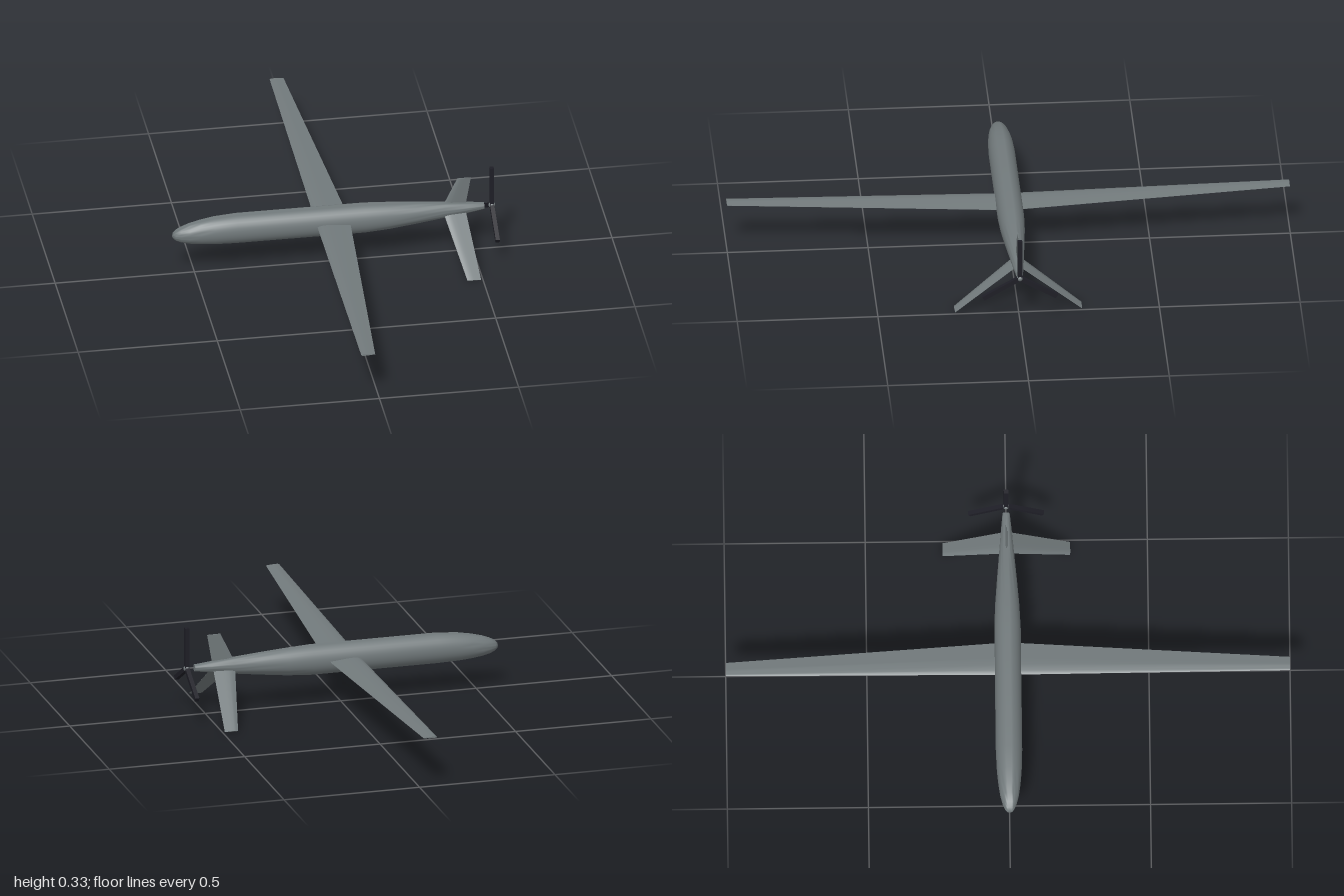
import * as THREE from 'three';
import { toCreasedNormals } from 'three/addons/utils/BufferGeometryUtils.js';

// Skin a list of equal-length rings (counter-clockwise about the travel direction), capping both ends.
function loft(rings, crease) {
  const n = rings[0].length, pos = [], idx = [];
  rings.forEach(r => r.forEach(p => pos.push(...p)));
  for (let i = 0; i < rings.length - 1; i++) {
    for (let j = 0; j < n; j++) {
      const a = i * n + j, b = i * n + (j + 1) % n;
      idx.push(a, b, a + n, b, b + n, a + n);
    }
  }
  const last = (rings.length - 1) * n;
  for (let j = 1; j < n - 1; j++) {
    idx.push(0, j + 1, j);
    idx.push(last, last + j, last + j + 1);
  }
  const g = new THREE.BufferGeometry();
  g.setAttribute('position', new THREE.Float32BufferAttribute(pos, 3));
  g.setIndex(idx);
  return toCreasedNormals(g, crease);
}

// Airfoil outline as [chord fraction, half-thickness fraction], from the trailing edge over the top.
const upper = [[1, 0.05], [0.75, 0.4], [0.5, 0.8], [0.3, 1], [0.12, 0.8], [0.03, 0.42], [0, 0]];
const airfoil = [...upper, ...upper.slice(0, -1).reverse().map(([c, t]) => [c, -t])];

export function createModel() {
  const group = new THREE.Group();
  const grey = new THREE.MeshStandardMaterial({ color: 0x727a7c });
  grey.name = 'airframe grey';
  const black = new THREE.MeshStandardMaterial({ color: 0x1e1e26 });
  black.name = 'propeller black';

  const add = (name, geometry, material, parent = group) => {
    const mesh = new THREE.Mesh(geometry, material);
    mesh.name = name;
    parent.add(mesh);
    return mesh;
  };

  // Fuselage stations: x, bottom y, top y, half width
  const stations = [
    [-0.58, 0.153, 0.157, 0.002], [-0.577, 0.145, 0.167, 0.01], [-0.568, 0.137, 0.176, 0.017],
    [-0.55, 0.129, 0.186, 0.025], [-0.52, 0.122, 0.197, 0.033], [-0.48, 0.117, 0.207, 0.039],
    [-0.43, 0.113, 0.216, 0.044], [-0.35, 0.111, 0.222, 0.047], [-0.1, 0.111, 0.222, 0.047],
    [0.11, 0.111, 0.222, 0.047], [0.2, 0.117, 0.217, 0.043], [0.3, 0.129, 0.21, 0.035],
    [0.4, 0.142, 0.202, 0.026], [0.48, 0.153, 0.194, 0.019], [0.54, 0.163, 0.188, 0.013],
  ];
  const sides = 32;
  add('fuselage', loft(stations.map(([x, lo, hi, w]) =>
    Array.from({ length: sides }, (_, j) => {
      const a = j / sides * Math.PI * 2;
      return [x, (lo + hi) / 2 + Math.cos(a) * (hi - lo) / 2, Math.sin(a) * w];
    })), 0.9), grey);

  // Wing: straight leading edge, tapered trailing edge, slight dihedral. z, y, chord, half thickness
  const wing = [[-1, 0.183, 0.05, 0.003], [0, 0.166, 0.122, 0.008], [1, 0.183, 0.05, 0.003]];
  add('wing', loft(wing.map(([z, y, chord, t]) =>
    airfoil.map(([c, h]) => [-0.065 + c * chord, y + h * t, z])), 0.6), grey);

  // Tail fins, each rising along +y and then turned about the fuselage axis
  const tail = (name, span, rootX, angle) => {
    const sections = [[0, rootX, 0.472 - rootX, 0.004], [span, 0.444, 0.049, 0.0025]];
    const fin = add(name, loft(sections.map(([y, x, chord, t]) =>
      airfoil.map(([c, h]) => [x + c * chord, y, -h * t])), 0.6), grey);
    fin.position.y = 0.173;
    fin.rotation.x = angle;
  };
  tail('upperFin', 0.121, 0.385, 0);
  tail('leftLowerFin', 0.282, 0.39, 2.217);
  tail('rightLowerFin', 0.282, 0.39, -2.217);

  // Three-bladed pusher propeller
  const propeller = new THREE.Group();
  propeller.name = 'propeller';
  propeller.position.set(0.568, 0.176, 0);
  group.add(propeller);
  const hub = add('hub', new THREE.SphereGeometry(0.011, 20, 14), grey, propeller);
  hub.scale.set(1.1, 1, 1);
  const blade = new THREE.BoxGeometry(0.015, 0.15, 0.016).translate(0, 0.076, 0);
  for (let i = 0; i < 3; i++) {
    add('blade', blade, black, propeller).rotation.x = i * Math.PI * 2 / 3;
  }
  return group;
}
